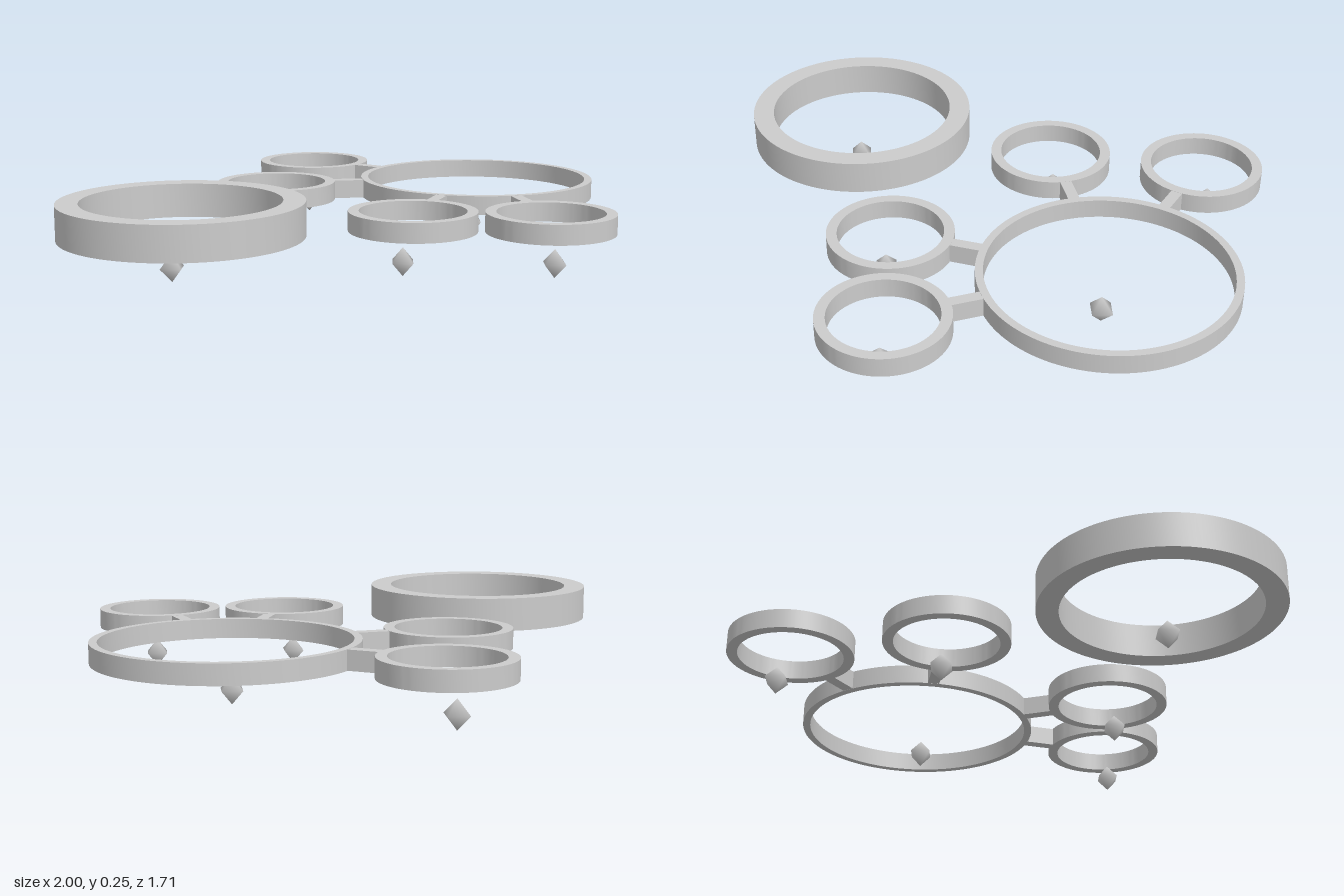
import * as THREE from 'three';
import { toCreasedNormals } from 'three/addons/utils/BufferGeometryUtils.js';

const BASE = 0.142; // underside of all rings
const LOW = 0.063; // height of the linked rings
const material = new THREE.MeshStandardMaterial({ color: 0xcccccc });

function addMesh(parent, name, geometry, x, y, z) {
  const mesh = new THREE.Mesh(geometry, material);
  mesh.name = name;
  mesh.position.set(x, y, z);
  parent.add(mesh);
  return mesh;
}

// Flat band with square edges and smooth round walls
function ringGeometry(outer, inner, height) {
  const shape = new THREE.Shape().absarc(0, 0, outer, 0, Math.PI * 2, false);
  shape.holes.push(new THREE.Path().absarc(0, 0, inner, 0, Math.PI * 2, true));
  const geometry = new THREE.ExtrudeGeometry(shape, { depth: height, bevelEnabled: false, curveSegments: 64 });
  geometry.rotateX(-Math.PI / 2);
  return toCreasedNormals(geometry, 0.5);
}

export function createModel() {
  const model = new THREE.Group();
  model.name = 'ringCluster';

  const hub = { x: 0.59, z: 0.03, outer: 0.407, inner: 0.382 };
  const small = { outer: 0.203, inner: 0.169 };
  const satellites = [[0.44, -0.66], [0.01, -0.38], [-0.045, 0.334], [0.245, 0.647]];

  // Large rings: the separate thick one and the thin hub
  addMesh(model, 'thickRing', ringGeometry(0.38, 0.31, 0.11), -0.62, BASE, -0.09);
  addMesh(model, 'hubRing', ringGeometry(hub.outer, hub.inner, LOW), hub.x, BASE, hub.z);

  // Small rings, each joined to the hub by a straight bar
  const smallRing = ringGeometry(small.outer, small.inner, LOW);
  for (const [x, z] of satellites) {
    addMesh(model, 'smallRing', smallRing, x, BASE, z);
    const dx = hub.x - x, dz = hub.z - z;
    const distance = Math.hypot(dx, dz);
    const start = small.outer - 0.01, end = distance - hub.outer + 0.01;
    const mid = (start + end) / 2 / distance;
    const bar = addMesh(model, 'connectorBar', new THREE.BoxGeometry(end - start, LOW - 0.001, 0.038),
      x + dx * mid, BASE + LOW / 2, z + dz * mid);
    bar.rotation.y = -Math.atan2(dz, dx);
  }

  // Small eight-sided beads beneath the rings
  const bead = new THREE.SphereGeometry(0.046, 4, 2);
  const beads = [[-0.65, -0.105], [0, -0.41], [0.45, -0.7], [0.57, 0.03], [-0.08, 0.325], [0.243, 0.667]];
  for (const [x, z] of beads) addMesh(model, 'bead', bead, x, 0.046, z);

  return model;
}
